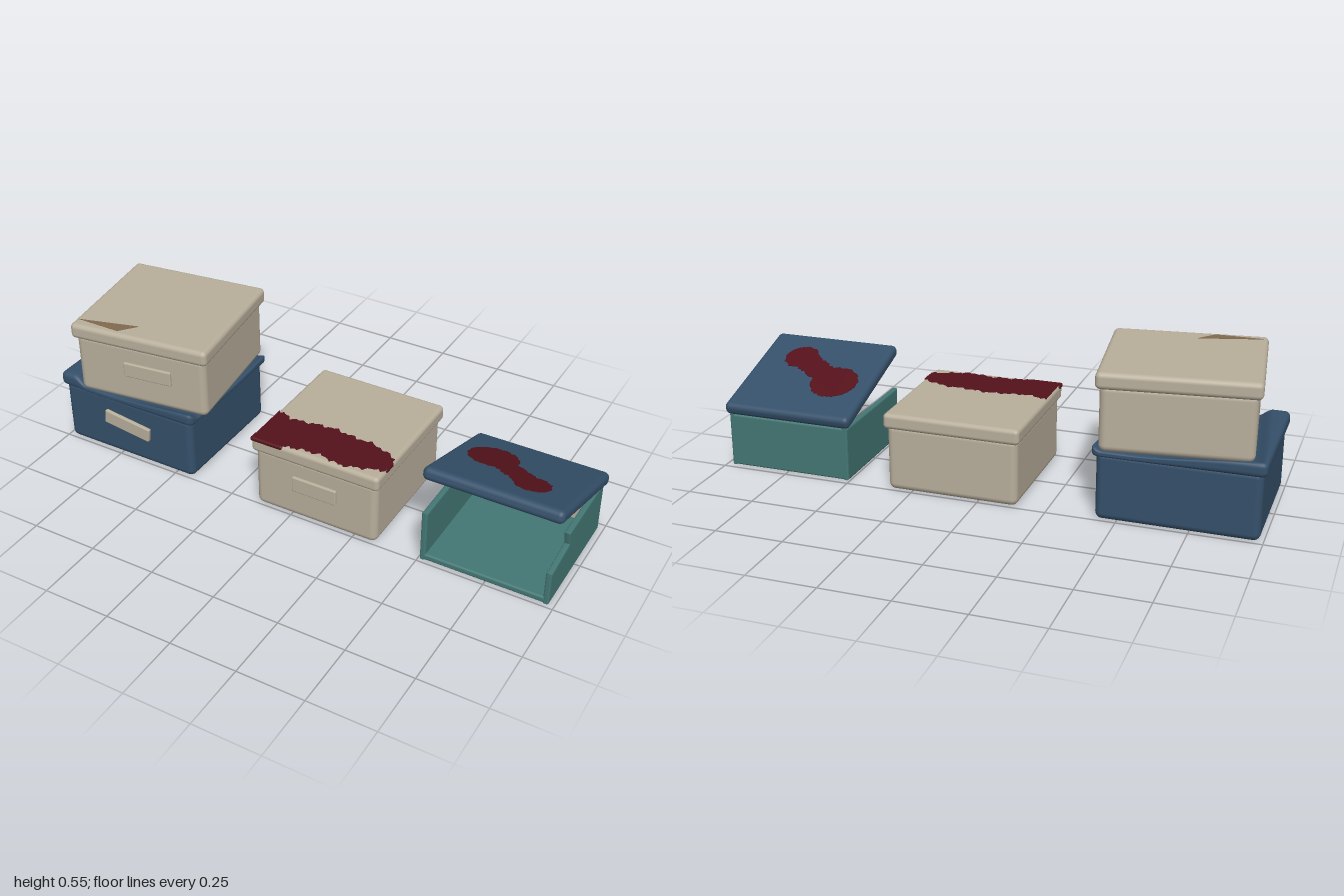
import * as THREE from 'three';
import { RoundedBoxGeometry } from 'three/addons/geometries/RoundedBoxGeometry.js';
import { mergeVertices } from 'three/addons/utils/BufferGeometryUtils.js';

const mat = (color) => new THREE.MeshStandardMaterial({ color });
const cream = mat(0xb8ae9b), blue = mat(0x35506a), teal = mat(0x447774);
const red = mat(0x55121b), brown = mat(0x80694f);

function add(parent, name, geometry, material, x = 0, y = 0, z = 0) {
  const mesh = new THREE.Mesh(geometry, material);
  mesh.name = name;
  mesh.position.set(x, y, z);
  parent.add(mesh);
  return mesh;
}

const rounded = (w, h, d, r) => new RoundedBoxGeometry(w, h, d, 3, r);

function group(parent, name, x, y, z) {
  const g = new THREE.Group();
  g.name = name;
  g.position.set(x, y, z);
  parent.add(g);
  return g;
}

// Thin flat patch lying on a top face, outlined by [x, z] points
function patch(points) {
  const shape = new THREE.Shape(points.map(([x, z]) => new THREE.Vector2(x, -z)));
  const geo = new THREE.ExtrudeGeometry(shape, { depth: 0.002, bevelEnabled: false });
  return geo.rotateX(-Math.PI / 2);
}

// Small deterministic wobble for ragged stain edges
const wobble = (i) => 0.006 * Math.sin(i * 2.3) + 0.005 * Math.sin(i * 1.1 + 1);

// Rounded slab whose top is pressed down where press(x, z) is above zero
function dentedSlab(w, h, d, r, press) {
  const geo = new THREE.BoxGeometry(w, h, d, 60, 12, 60);
  const half = new THREE.Vector3(w / 2 - r, h / 2 - r, d / 2 - r);
  const low = half.clone().negate();
  const pos = geo.attributes.position;
  const p = new THREE.Vector3(), core = new THREE.Vector3();
  for (let i = 0; i < pos.count; i++) {
    p.fromBufferAttribute(pos, i);
    core.copy(p).clamp(low, half);
    p.sub(core).setLength(r).add(core);
    p.y -= press(p.x, p.z) * (p.y / h + 0.5);
    pos.setXYZ(i, p.x, p.y, p.z);
  }
  geo.deleteAttribute('uv');
  geo.deleteAttribute('normal');
  const merged = mergeVertices(geo, 1e-5);
  merged.computeVertexNormals();
  return merged;
}

// Upright wall from a [z, y] outline, extruded along x and centred on its thickness
function wall(points, thickness) {
  const b = 0.006;
  const geo = new THREE.ExtrudeGeometry(
    new THREE.Shape(points.map(([z, y]) => new THREE.Vector2(z, y))),
    { depth: thickness - 2 * b, bevelSize: b, bevelThickness: b, bevelOffset: -b, bevelSegments: 2 });
  return geo.translate(0, 0, b - thickness / 2).rotateY(-Math.PI / 2);
}

export function createModel() {
  const model = new THREE.Group();
  model.name = 'storageBoxes';

  const upperX = -0.663, upperTurn = 0.13;

  // Blue box with its lid crushed by the box on top
  const lower = group(model, 'lowerBox', -0.705, 0, 0);
  add(lower, 'lowerBody', rounded(0.565, 0.25, 0.49, 0.025), blue, 0, 0.125, 0);
  const press = (x, z) => {
    const dx = x + lower.position.x - upperX;
    const c = Math.cos(upperTurn), s = Math.sin(upperTurn);
    const out = Math.max(Math.abs(dx * c - z * s) - 0.25, Math.abs(dx * s + z * c) - 0.235);
    return 0.03 * (1 - THREE.MathUtils.smoothstep(out, 0, 0.055));
  };
  add(lower, 'lowerLid', dentedSlab(0.59, 0.056, 0.515, 0.02, press), blue, 0, 0.263, -0.002);
  add(lower, 'crookedLabel', rounded(0.2, 0.056, 0.016, 0.005), cream, 0, 0.145, 0.25)
    .rotation.z = -0.13;

  // Cream box set askew on the blue one
  const upper = group(model, 'upperBox', upperX, 0.26, -0.002);
  upper.rotation.y = upperTurn;
  add(upper, 'upperBody', rounded(0.518, 0.24, 0.485, 0.025), cream, 0, 0.12, 0);
  add(upper, 'upperLid', rounded(0.545, 0.06, 0.512, 0.018), cream, 0, 0.255, 0);
  add(upper, 'upperLabel', rounded(0.19, 0.058, 0.014, 0.005), cream, 0.03, 0.138, 0.245);
  add(upper, 'tornPatch', patch([[-0.255, 0.212], [-0.03, 0.178], [-0.088, 0.233]]),
    brown, 0, 0.2845, 0);

  // Cream box in the middle with a stained lid
  const middle = group(model, 'middleBox', 0.0975, 0, 0);
  add(middle, 'middleBody', rounded(0.485, 0.25, 0.494, 0.025), cream, 0, 0.125, 0);
  add(middle, 'middleLid', rounded(0.505, 0.058, 0.516, 0.016), cream, 0, 0.263, 0);
  add(middle, 'middleLabel', rounded(0.176, 0.062, 0.014, 0.005), cream, 0, 0.146, 0.25);
  const stain = [];
  const N = 40;
  const back = new THREE.CatmullRomCurve3([
    [-0.248, 0.068], [-0.18, 0.09], [-0.1, 0.08], [-0.02, 0.07], [0.06, 0.08], [0.15, 0.085], [0.248, 0.125],
  ].map(([x, z]) => new THREE.Vector3(x, 0, z)));
  const front = new THREE.CatmullRomCurve3([
    [0.248, 0.2], [0.17, 0.225], [0.1, 0.245], [0.02, 0.23], [-0.06, 0.235], [-0.12, 0.248], [-0.248, 0.248],
  ].map(([x, z]) => new THREE.Vector3(x, 0, z)));
  for (const curve of [back, front])
    curve.getPoints(N).forEach((p, i) =>
      stain.push([p.x, Math.min(0.25, p.z + (i > 0 && i < N ? wobble(i) : 0))]));
  add(middle, 'lidStain', patch(stain), red, 0, 0.2915, 0);
  add(middle, 'frontDrip', rounded(0.13, 0.018, 0.04, 0.008), red, -0.19, 0.2843, 0.2395);
  add(middle, 'sideDrip', rounded(0.04, 0.018, 0.055, 0.008), red, 0.234, 0.2843, 0.168);

  // Teal box without a front, one side wall torn
  const open = group(model, 'openBox', 0.7425, 0, 0.005);
  add(open, 'floor', rounded(0.47, 0.025, 0.46, 0.008), teal, 0, 0.0125, 0);
  add(open, 'backWall', rounded(0.475, 0.2, 0.022, 0.008), teal, 0, 0.1, -0.219);
  add(open, 'backLining', new THREE.BoxGeometry(0.43, 0.152, 0.006), cream, 0, 0.106, -0.207);
  add(open, 'rightWall', wall([[-0.23, 0], [0.23, 0], [0.23, 0.2], [-0.23, 0.2]], 0.022),
    teal, -0.2265, 0, 0);
  add(open, 'tornLeftWall',
    wall([[-0.23, 0], [0.23, 0], [0.23, 0.13], [0.078, 0.148], [0.09, 0.2], [-0.23, 0.2]], 0.022),
    teal, 0.2265, 0, 0);

  // Blue lid leaning back on the open box
  const lid = group(model, 'leaningLid', 0.745, 0.289, -0.003);
  lid.rotation.x = -0.3;
  add(lid, 'lidSlab', rounded(0.5, 0.048, 0.486, 0.02), blue);

  // Stain: two round blobs joined by a neck, drawn as half-widths along an axis
  const blob = [];
  const axis = new THREE.Vector2(0.19, 0.128), length = axis.length();
  axis.normalize();
  const rA = 0.09, rB = 0.065, M = 48;
  const arc = (t, r) => Math.sqrt(Math.max(0, r * r - t * t));
  for (const side of [1, -1])
    for (let i = 0; i < M; i++) {
      const f = (1 - Math.cos(Math.PI * i / M)) / 2;
      const k = side > 0 ? f : 1 - f;
      const t = -rA + k * (length + rA + rB);
      const neck = t > 0 && t < length ? 0.048 : 0;
      const w = Math.max(arc(t, rA), arc(t - length, rB), neck);
      const h = side * (w + (w > 0.03 ? 0.6 * wobble(i * 1.3 + side) : 0));
      blob.push([-0.107 + axis.x * t - axis.y * h, -0.033 + axis.y * t + axis.x * h]);
    }
  add(lid, 'leaningLidStain', patch(blob), red, 0, 0.0235, 0);

  return model;
}
